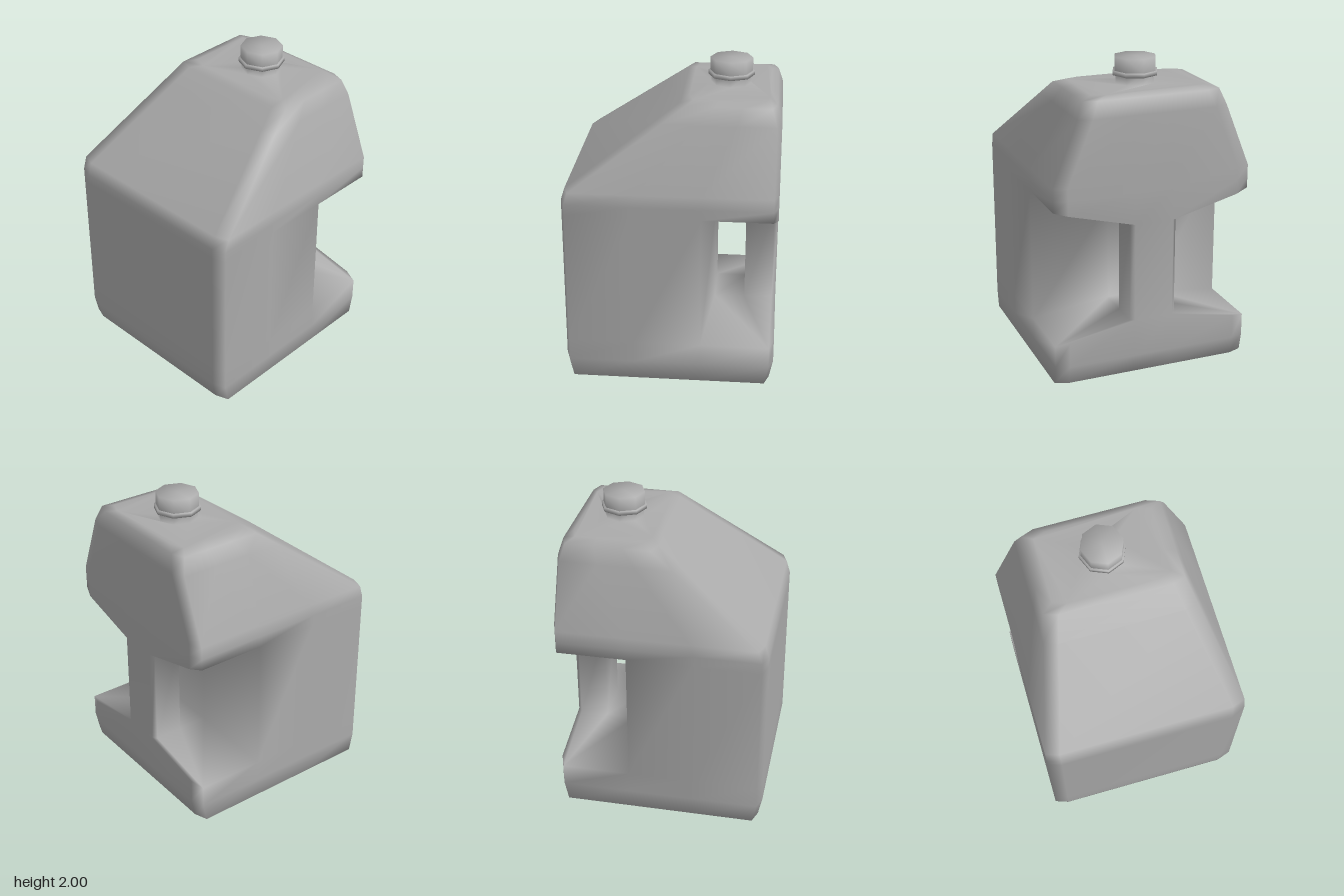
import * as THREE from 'three';
import { mergeVertices } from 'three/addons/utils/BufferGeometryUtils.js';

const flip = ([x, y, z]) => [x, y, -z];
const closeLoop = (half) => [...half, ...half.map(flip).reverse()];

// Sloped floor and ceiling of the hand recess
const floorY = (z) => 0.3 + (0.64 - z) * 0.2;
const ceilY = (z) => 1.17 - (0.64 - z) * 0.26;

// Half outline of a horizontal section: right centre, right corner, front, left corner
function section(xl, xr, zw, y) {
  const recessX = xl + 0.65 * (xr - xl);
  const midX = (recessX + xl + 0.03) / 2;
  return [
    [xr, 0.125], [xr, zw - 0.085], [xr - 0.03, zw], [recessX, zw],
    [midX, zw], [xl + 0.03, zw], [xl, zw - 0.085],
  ].map(([x, z], i) => [x, typeof y === 'function' ? y(i < 4 ? z : 0.64) : y, z]);
}

// Collects faces, then welds them into one smooth surface
function surface() {
  const pos = [];
  const tri = (a, b, c) => pos.push(...a, ...b, ...c);
  return {
    tri,
    loft(a, b) {
      a.forEach((p, i) => {
        const j = (i + 1) % a.length;
        tri(a[j], p, b[i]);
        tri(a[j], b[i], b[j]);
      });
    },
    fan(pts, reverse) {
      for (let i = 1; i < pts.length - 1; i++) {
        if (reverse) tri(pts[0], pts[i + 1], pts[i]);
        else tri(pts[0], pts[i], pts[i + 1]);
      }
    },
    build() {
      const g = new THREE.BufferGeometry();
      g.setAttribute('position', new THREE.Float32BufferAttribute(pos, 3));
      const welded = mergeVertices(g, 1e-4);
      welded.computeVertexNormals();
      return welded;
    },
  };
}

export function createModel() {
  const group = new THREE.Group();
  const material = new THREE.MeshStandardMaterial({ color: 0xaaaaaa });
  const add = (name, geometry) => {
    const mesh = new THREE.Mesh(geometry, material);
    mesh.name = name;
    group.add(mesh);
    return mesh;
  };
  const body = surface();
  const neckX = 0.34;

  // Base below the recess
  const lower = [
    section(-0.555, 0.555, 0.56, 0),
    section(-0.64, 0.64, 0.64, 0.04),
    section(-0.665, 0.665, 0.64, 0.16),
    section(-0.665, 0.665, 0.64, floorY),
  ];
  // Shoulder and sloping roof above the recess
  const upper = [
    section(-0.665, 0.665, 0.64, ceilY),
    section(-0.665, 0.665, 0.64, 1.24),
    section(-0.64, 0.665, 0.64, 1.32),
    section(-0.088, 0.665, 0.48, 1.72),
    section(0.05, 0.635, 0.44, 1.82),
    section(0.1, 0.59, 0.37, 1.84),
  ];
  for (const rings of [lower, upper]) {
    for (let i = 0; i < rings.length - 1; i++) body.loft(closeLoop(rings[i]), closeLoop(rings[i + 1]));
  }
  body.fan(closeLoop(lower[0]), false);

  // Eight-sided neck growing out of the flat top
  const neckRing = (y) => Array.from({ length: 8 }, (_, i) => {
    const a = (i * Math.PI) / 4;
    return [neckX + 0.125 * Math.cos(a), y, 0.125 * Math.sin(a)];
  });
  const rim = closeLoop(upper[5]);
  const neckBase = neckRing(1.84);
  const flat = (pts) => pts.map(([x, , z]) => new THREE.Vector2(x, -z));
  const topPoints = [...rim, ...neckBase];
  for (const [a, b, c] of THREE.ShapeUtils.triangulateShape(flat(rim), [flat(neckBase)])) {
    body.tri(topPoints[a], topPoints[b], topPoints[c]);
  }
  body.loft(neckBase, neckRing(1.9));

  // Tank wall behind the grip hole, and the handle post
  const at = (pts, yOf) => pts.map(([x, z]) => [x, yOf(z), z]);
  const level = (ring, yOf) => {
    const [p0, p1, p2, p3, ...rest] = ring;
    const [w, q1, q2] = at([[0.265, 0.15], [0.64, 0.15], [0.46, 0.15]], yOf);
    return {
      tank: closeLoop([w, p3, ...rest]),
      handle: closeLoop([p0, q1, q2]),
      shelf: [p2, p3, w, q2, q1, p0, p1],
      sill: [w, q2, flip(q2), flip(w)],
    };
  };
  const low = level(lower[3], floorY);
  const high = level(upper[0], ceilY);
  body.loft(low.tank, high.tank);
  body.loft(low.handle, high.handle);

  // Floor and ceiling of the recess on both sides, and of the grip hole
  for (const [l, isFloor] of [[low, true], [high, false]]) {
    body.fan(l.shelf, isFloor);
    body.fan(l.shelf.map(flip), !isFloor);
    body.fan(l.sill, !isFloor);
  }
  add('jugBody', body.build());

  // Collar and screw cap
  const parts = {
    collar: [[0.11, 1.888], [0.145, 1.89], [0.145, 1.915], [0.11, 1.917]],
    cap: [[0.133, 1.912], [0.133, 2], [0, 2]],
  };
  for (const [name, pts] of Object.entries(parts)) {
    const profile = pts.map(([r, y]) => new THREE.Vector2(r, y));
    add(name, new THREE.LatheGeometry(profile, 8)).position.x = neckX;
  }

  return group;
}
